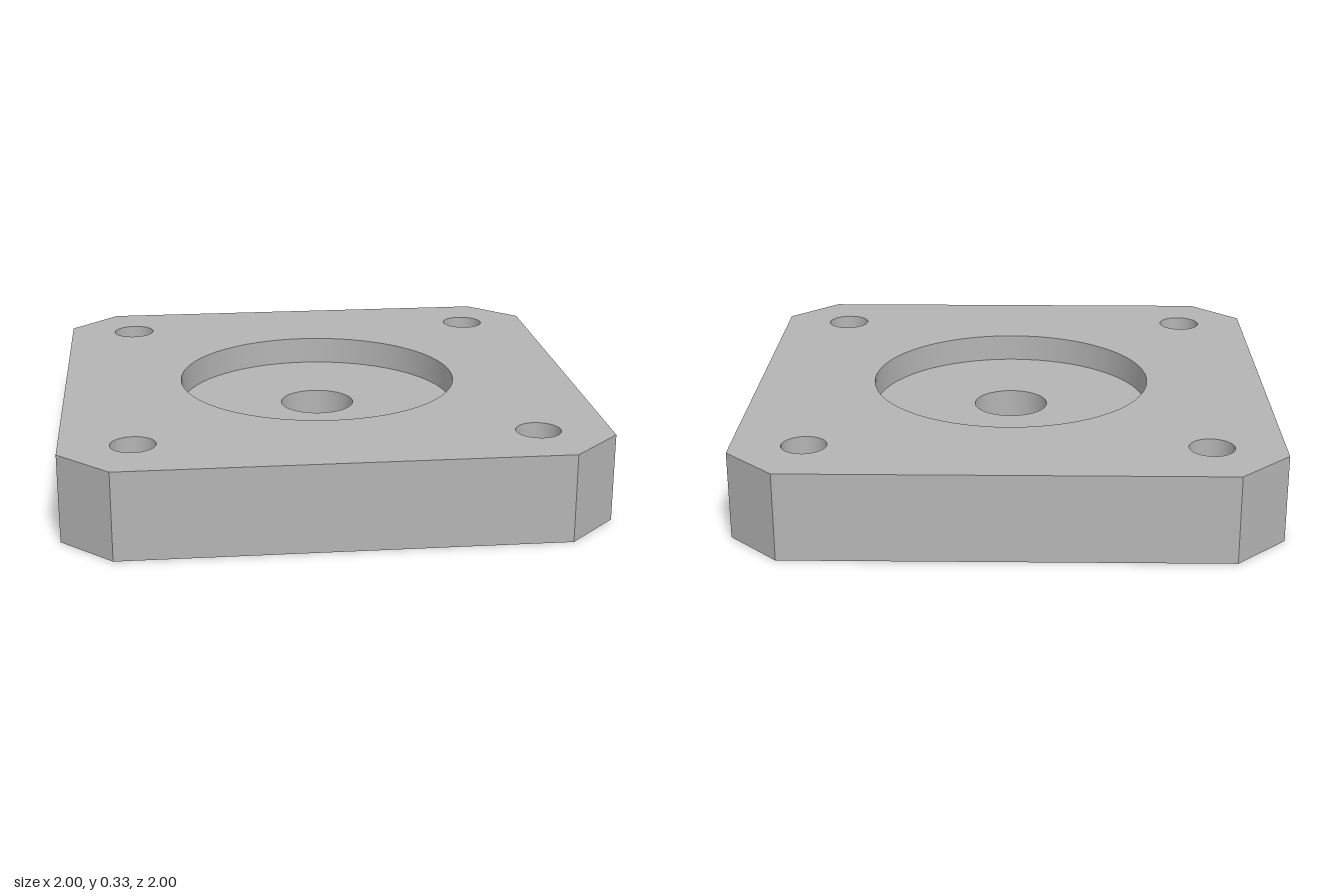
import * as THREE from 'three';

const H = 0.33;          // plate thickness
const FLOOR = 0.223;     // height of the pocket floor
const C = 0.812;         // where each corner chamfer starts
const POCKET_R = 0.544, BORE_R = 0.144;
const BOLT_R = 0.083, BOLT_POS = 0.733;
const SEGMENTS = 64;

export function createModel() {
  const grey = new THREE.MeshStandardMaterial({ color: 0xb4b4b4 });
  grey.name = 'plain grey';
  const model = new THREE.Group();
  model.name = 'mountingPlate';

  const add = (name, geometry) => {
    const mesh = new THREE.Mesh(geometry, grey);
    mesh.name = name;
    model.add(mesh);
    return mesh;
  };

  const corners = [[1, 1], [-1, 1], [-1, -1], [1, -1]];

  // Chamfered square with four bolt holes and a round central opening
  const face = (openingRadius) => {
    const shape = new THREE.Shape([
      [1, -C], [1, C], [C, 1], [-C, 1], [-1, C], [-1, -C], [-C, -1], [C, -1],
    ].map(([x, y]) => new THREE.Vector2(x, y)));
    const cut = (x, y, r) =>
      shape.holes.push(new THREE.Path().absarc(x, y, r, 0, Math.PI * 2, true));
    cut(0, 0, openingRadius);
    corners.forEach(([x, y]) => cut(x * BOLT_POS, y * BOLT_POS, BOLT_R));
    return new THREE.ShapeGeometry(shape, SEGMENTS / 2);
  };

  // Surface of revolution; a profile running downward faces inward
  const revolve = (r0, y0, r1, y1) => new THREE.LatheGeometry(
    [new THREE.Vector2(r0, y0), new THREE.Vector2(r1, y1)], SEGMENTS);

  add('topFace', face(POCKET_R).rotateX(-Math.PI / 2).translate(0, H, 0));
  add('bottomFace', face(BORE_R).rotateX(Math.PI / 2));

  // Four sides alternating with four corner chamfers
  for (let i = 0; i < 8; i++) {
    const chamfer = i % 2 === 1;
    const width = chamfer ? (1 - C) * Math.SQRT2 : 2 * C;
    const distance = chamfer ? (1 + C) / Math.SQRT2 : 1;
    add(chamfer ? 'cornerChamfer' : 'sideFace',
      new THREE.PlaneGeometry(width, H)
        .translate(0, H / 2, distance)
        .rotateY(i * Math.PI / 4));
  }

  // Round pocket and through bore
  add('pocketWall', revolve(POCKET_R, H, POCKET_R, FLOOR));
  add('pocketFloor', revolve(POCKET_R, FLOOR, BORE_R, FLOOR));
  add('boreWall', revolve(BORE_R, FLOOR, BORE_R, 0));

  // Bolt hole walls
  corners.forEach(([x, z]) =>
    add('boltHoleWall', revolve(BOLT_R, H, BOLT_R, 0))
      .position.set(x * BOLT_POS, 0, z * BOLT_POS));

  return model;
}
